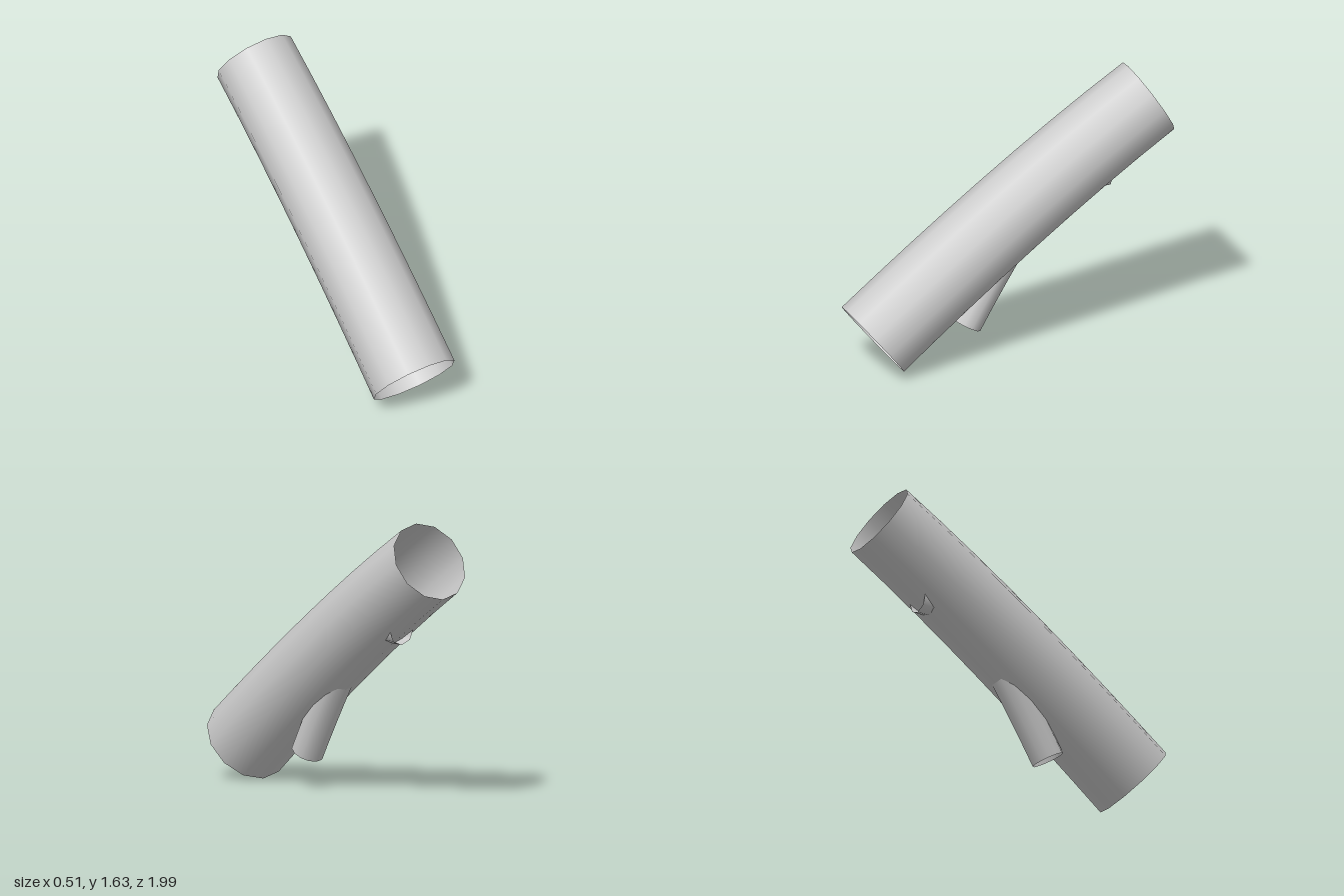
import * as THREE from 'three';

const bark = new THREE.MeshStandardMaterial({ color: 0xcccccc, side: THREE.DoubleSide });
bark.name = 'bark grey';

// Open tapered tube along a bent path in the plane x = 0; points are [y, z]
function limb(name, points, startRadius, endRadius, segments, sides) {
  const path = new THREE.QuadraticBezierCurve3(...points.map(([y, z]) => new THREE.Vector3(0, y, z)));
  const geometry = new THREE.TubeGeometry(path, segments, startRadius, sides);
  const position = geometry.attributes.position;
  const v = new THREE.Vector3();
  for (let i = 0; i < position.count; i++) {
    const t = Math.floor(i / (sides + 1)) / segments;
    const centre = path.getPointAt(t);
    const scale = THREE.MathUtils.lerp(1, endRadius / startRadius, t);
    v.fromBufferAttribute(position, i).sub(centre).multiplyScalar(scale).add(centre);
    position.setXYZ(i, v.x, v.y, v.z);
  }
  const mesh = new THREE.Mesh(geometry, bark);
  mesh.name = name;
  return mesh;
}

export function createModel() {
  const log = new THREE.Group();
  log.name = 'hollowLog';
  // Hollow, slightly arched trunk
  log.add(limb('trunk', [[0.2, 0.84], [0.966, -0.118], [1.425, -0.87]], 0.256, 0.24, 8, 12));
  // Lower branch, growing out of the underside toward the front
  log.add(limb('lowerBranch', [[0.92, -0.18], [0.53, 0.08], [0.2, 0.267]], 0.1, 0.096, 6, 12));
  // Short broken stub, pointing back
  log.add(limb('backStub', [[0.998, -0.25], [0.998, -0.43], [0.998, -0.61]], 0.087, 0.083, 3, 8));
  return log;
}
